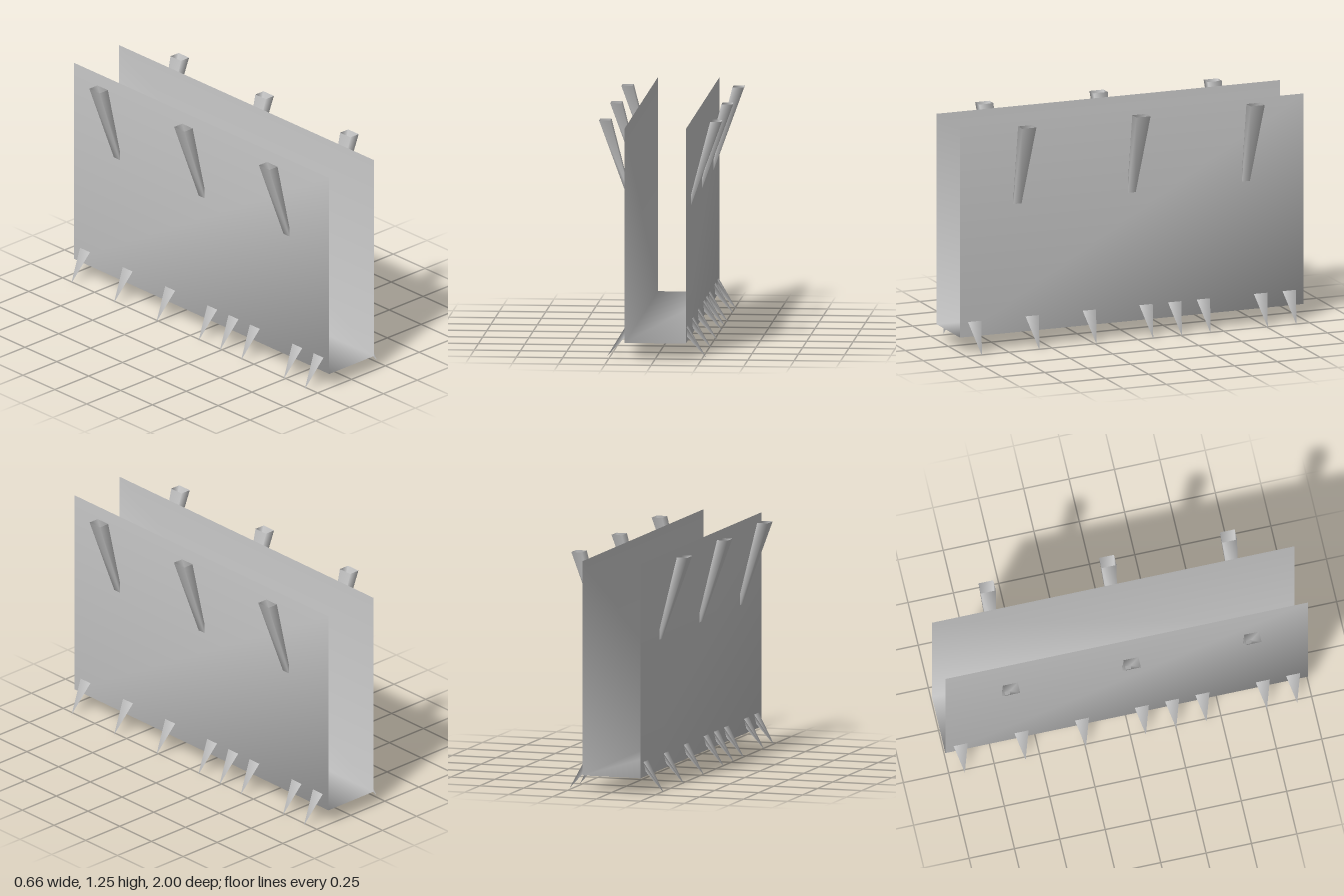
import * as THREE from 'three';

const material = new THREE.MeshStandardMaterial({ color: 0xcccccc, side: THREE.DoubleSide });

const W = 0.165;      // half width of the trough
const FLOOR = 0.085;  // height of its floor
const TOP = 1.25;     // height of its rim

// Smooth-shaded surface from corner points and quads or triangles
function surface(points, faces) {
  const geometry = new THREE.BufferGeometry();
  geometry.setAttribute('position', new THREE.Float32BufferAttribute(points.flat(), 3));
  geometry.setIndex(faces.flatMap(([a, b, c, d]) => (d === undefined ? [a, b, c] : [a, b, c, a, c, d])));
  geometry.computeVertexNormals();
  return geometry;
}

function part(name, geometry, z = 0) {
  const mesh = new THREE.Mesh(geometry, material);
  mesh.name = name;
  mesh.position.z = z;
  return mesh;
}

// Open trough: two thin walls joined by a floor, swept along z
function troughGeometry() {
  const section = [[-W, TOP], [-W, FLOOR], [W, FLOOR], [W, TOP]];
  const points = [1, -1].flatMap((z) => section.map(([x, y]) => [x, y, z]));
  return surface(points, [0, 1, 2].map((i) => [i, i + 4, i + 5, i + 1]));
}

// Hollow four-sided stake leaning outwards from the wall, open at the top
function stakeGeometry() {
  const ring = (inner, outer, half) => [
    [...inner, half], [...inner, -half], [...outer, -half], [...outer, half],
  ];
  const points = [
    ...ring([W, 0.85], [W, 0.795], 0.023),
    ...ring([0.27, TOP], [0.33, TOP], 0.041),
  ];
  return surface(points, [0, 1, 2, 3].map((i) => {
    const j = (i + 1) % 4;
    return [i, i + 4, j + 4, j];
  }));
}

// Three-sided spike pointing down and outwards
function spikeGeometry() {
  const points = [[W, 0.167, 0.039], [W, 0.167, -0.039], [W, 0.11, 0], [0.267, 0, 0]];
  return surface(points, [[0, 3, 1], [1, 3, 2], [2, 3, 0]]);
}

export function createModel() {
  const model = new THREE.Group();
  model.name = 'spikedTrough';
  model.add(part('trough', troughGeometry()));

  const stake = stakeGeometry();
  const spike = spikeGeometry();
  const spikeSlots = [0.915, 0.58, 0.247, -0.083, -0.25, -0.417, -0.75, -0.917];

  // The two sides match by a half turn
  for (const [name, angle] of [['leftSide', 0], ['rightSide', Math.PI]]) {
    const side = new THREE.Group();
    side.name = name;
    side.rotation.y = angle;
    for (const z of [0.665, 0, -0.665]) side.add(part('stake', stake, z));
    for (const z of spikeSlots) side.add(part('spike', spike, z));
    model.add(side);
  }
  return model;
}
